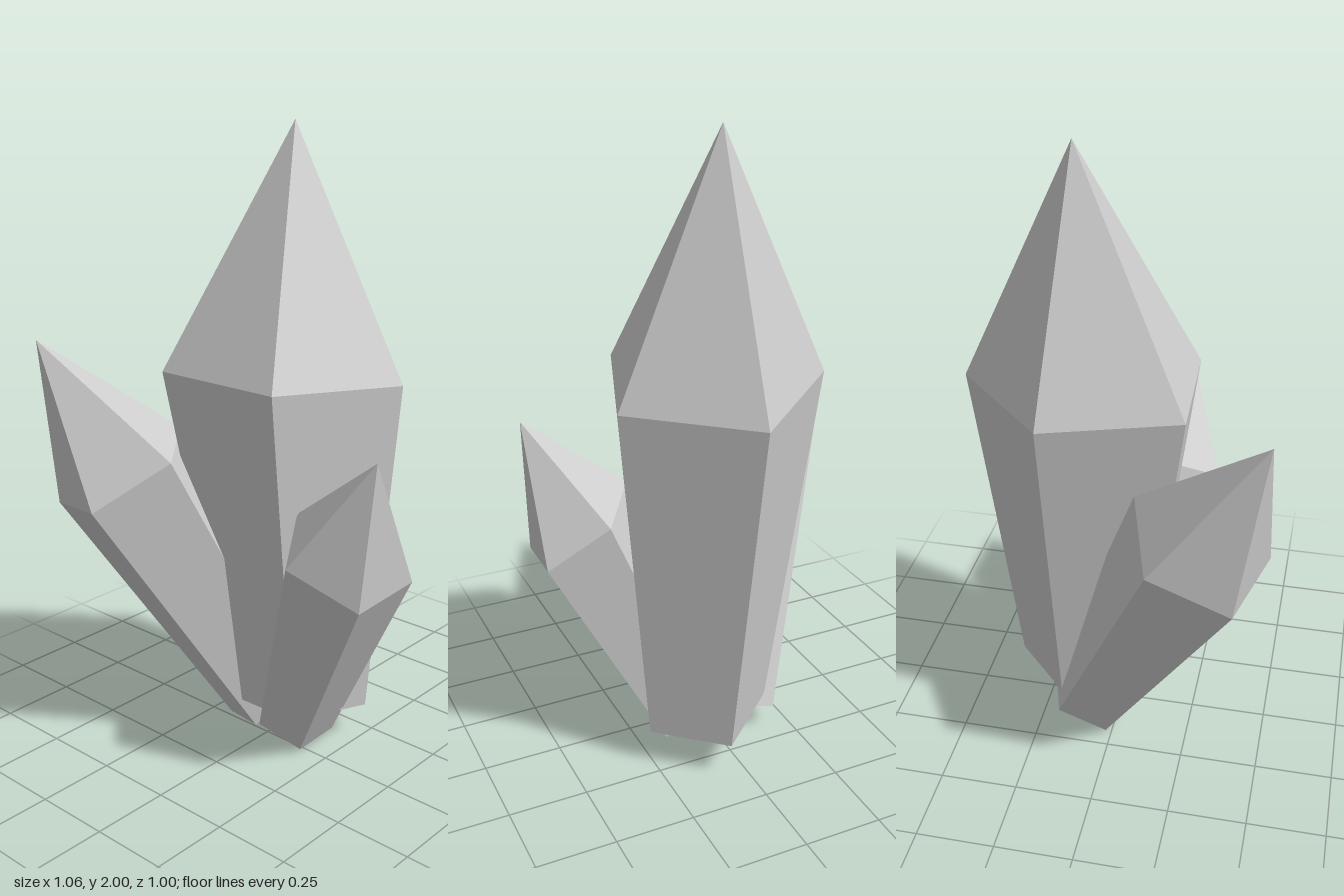
import * as THREE from 'three';

const material = new THREE.MeshStandardMaterial({ color: 0xcccccc, flatShading: true });

// Five-sided crystal: a shoulder ring (counter-clockwise from above), a pointed tip,
// and a closed foot that repeats the ring, scaled about its own centre.
function crystal(name, { tip, shoulder, foot, taper }) {
  const apex = new THREE.Vector3(...tip);
  const top = shoulder.map((p) => new THREE.Vector3(...p));
  const footCentre = new THREE.Vector3(...foot);
  const n = top.length;
  const centre = top.reduce((sum, p) => sum.add(p), new THREE.Vector3()).divideScalar(n);
  const bottom = top.map((p) => p.clone().sub(centre).multiplyScalar(taper).add(footCentre));

  const corners = [];
  for (let i = 0; i < n; i++) {
    const j = (i + 1) % n;
    corners.push(top[i], top[j], apex);                                  // tip facet
    corners.push(bottom[i], bottom[j], top[j], bottom[i], top[j], top[i]); // shaft facet
    corners.push(bottom[j], bottom[i], footCentre);                      // foot cap
  }
  const geometry = new THREE.BufferGeometry().setFromPoints(corners);
  geometry.computeVertexNormals();
  const mesh = new THREE.Mesh(geometry, material);
  mesh.name = name;
  return mesh;
}

export function createModel() {
  const group = new THREE.Group();
  group.name = 'crystalCluster';

  group.add(
    // Tall upright crystal
    crystal('mainCrystal', {
      tip: [-0.013, 2, -0.14],
      shoulder: [
        [-0.225, 1.262, 0.23], [0.2, 1.255, 0.21], [0.352, 1.228, -0.22],
        [0.02, 1.222, -0.505], [-0.338, 1.247, -0.188],
      ],
      foot: [0.045, 0.13, -0.12],
      taper: 0.61,
    }),
    // Crystal leaning forward to the model's right
    crystal('rightCrystal', {
      tip: [-0.485, 1.368, 0.5],
      shoulder: [
        [-0.53, 0.93, 0.17], [-0.515, 0.82, 0.42], [-0.265, 0.865, 0.5],
        [-0.128, 1.005, 0.297], [-0.29, 1.043, 0.094],
      ],
      foot: [-0.077, 0.077, -0.1],
      taper: 0.64,
    }),
    // Short crystal leaning to the model's left
    crystal('leftCrystal', {
      tip: [0.527, 1.11, 0.14],
      shoulder: [
        [0.305, 0.77, 0.27], [0.505, 0.66, 0.18], [0.525, 0.69, -0.053],
        [0.337, 0.817, -0.104], [0.203, 0.868, 0.096],
      ],
      foot: [0.077, 0.075, -0.045],
      taper: 0.64,
    }),
  );
  return group;
}
